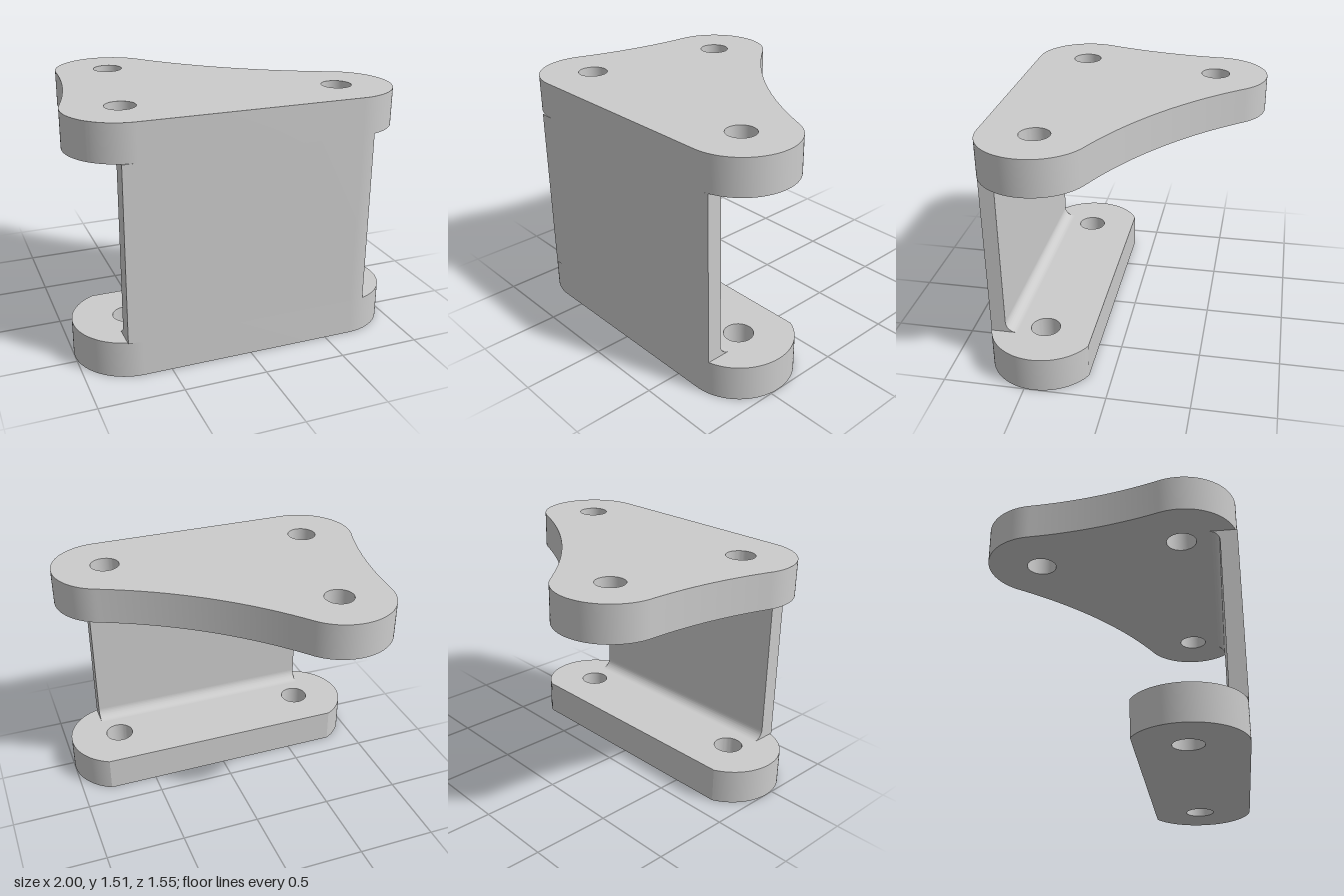
import * as THREE from 'three';
import { toCreasedNormals } from 'three/addons/utils/BufferGeometryUtils.js';

const R = 0.333;          // boss radius
const HOLE = 0.09;        // bolt hole radius
const SWEEP = 2.68;       // radius of the concave plate sides
const BASE_TOP = 0.222, TOP_BOTTOM = 1.291, TOP = 1.515;
const WEB_X0 = -0.758, WEB_X1 = 0.756, WEB_BACK = 0.672;

// boss centres in plan (x, z)
const right = new THREE.Vector2(-0.667, 0.443);
const left = new THREE.Vector2(0.667, 0.443);
const rear = new THREE.Vector2(-0.505, -0.446);
const FRONT = left.y + R;

const angle = (from, to) => Math.atan2(to.y - from.y, to.x - from.x);

// centre of the concave arc tangent to the bosses at p and q
function sweepCentre(p, q) {
  const d = q.clone().sub(p);
  const half = d.length() / 2;
  const out = new THREE.Vector2(d.y, -d.x).normalize();
  return p.clone().add(q).multiplyScalar(0.5)
    .addScaledVector(out, Math.sqrt((SWEEP + R) ** 2 - half ** 2));
}

function drill(shape, centres) {
  for (const c of centres) {
    shape.holes.push(new THREE.Path().absarc(c.x, c.y, HOLE, 0, Math.PI * 2, true));
  }
  return shape;
}

function createMesh(name, geometry, material) {
  const mesh = new THREE.Mesh(toCreasedNormals(geometry, 0.3), material);
  mesh.name = name;
  return mesh;
}

// plan shape (x, z) raised from y0 to y1
function raise(shape, y0, y1) {
  return new THREE.ExtrudeGeometry(shape, { depth: y1 - y0, bevelEnabled: false, curveSegments: 28 })
    .rotateX(Math.PI / 2).translate(0, y1, 0);
}

// three bosses joined by two concave sides and a straight front
function topPlateShape() {
  const k1 = sweepCentre(right, rear), k2 = sweepCentre(rear, left);
  const s = new THREE.Shape();
  s.absarc(right.x, right.y, R, Math.PI / 2, angle(right, k1), false);
  s.absarc(k1.x, k1.y, SWEEP, angle(k1, right), angle(k1, rear), true);
  s.absarc(rear.x, rear.y, R, angle(rear, k1), angle(rear, k2), false);
  s.absarc(k2.x, k2.y, SWEEP, angle(k2, rear), angle(k2, left), true);
  s.absarc(left.x, left.y, R, angle(left, k2), Math.PI / 2, false);
  s.closePath();
  return drill(s, [right, left, rear]);
}

// two bosses with a straight front and a straight trimmed back
function basePlateShape() {
  const trim = Math.asin((left.y - 0.143) / R);
  const s = new THREE.Shape();
  s.absarc(right.x, right.y, R, Math.PI / 2, Math.PI + trim, false);
  s.absarc(left.x, left.y, R, -trim, Math.PI / 2, false);
  s.closePath();
  return drill(s, [right, left]);
}

// upright wall: square at one end, following the boss curve at the other
function webShape() {
  const s = new THREE.Shape();
  s.moveTo(WEB_X0, FRONT);
  s.lineTo(WEB_X0, WEB_BACK);
  s.lineTo(WEB_X1, WEB_BACK);
  s.absarc(left.x, left.y, R, Math.acos((WEB_X1 - left.x) / R), Math.PI / 2, false);
  s.closePath();
  return s;
}

// concave fillet between wall and plate; dir is +1 upward, -1 downward
function filletGeometry(y, dir) {
  const r = 0.068, z = WEB_BACK;
  const s = new THREE.Shape();
  s.moveTo(-z, y);
  s.lineTo(-z + r, y);
  s.absarc(-z + r, y + dir * r, r, -dir * Math.PI / 2, -dir * Math.PI, dir > 0);
  s.closePath();
  return new THREE.ExtrudeGeometry(s, { depth: WEB_X1 - WEB_X0, bevelEnabled: false, curveSegments: 10 })
    .rotateY(Math.PI / 2).translate(WEB_X0, 0, 0);
}

export function createModel() {
  const material = new THREE.MeshStandardMaterial({ color: 0xcccccc });
  const group = new THREE.Group();
  group.name = 'mountingBracket';
  group.add(
    createMesh('basePlate', raise(basePlateShape(), 0, BASE_TOP), material),
    createMesh('topPlate', raise(topPlateShape(), TOP_BOTTOM, TOP), material),
    createMesh('web', raise(webShape(), BASE_TOP, TOP_BOTTOM), material),
    createMesh('lowerFillet', filletGeometry(BASE_TOP, 1), material),
    createMesh('upperFillet', filletGeometry(TOP_BOTTOM, -1), material),
  );
  return group;
}
